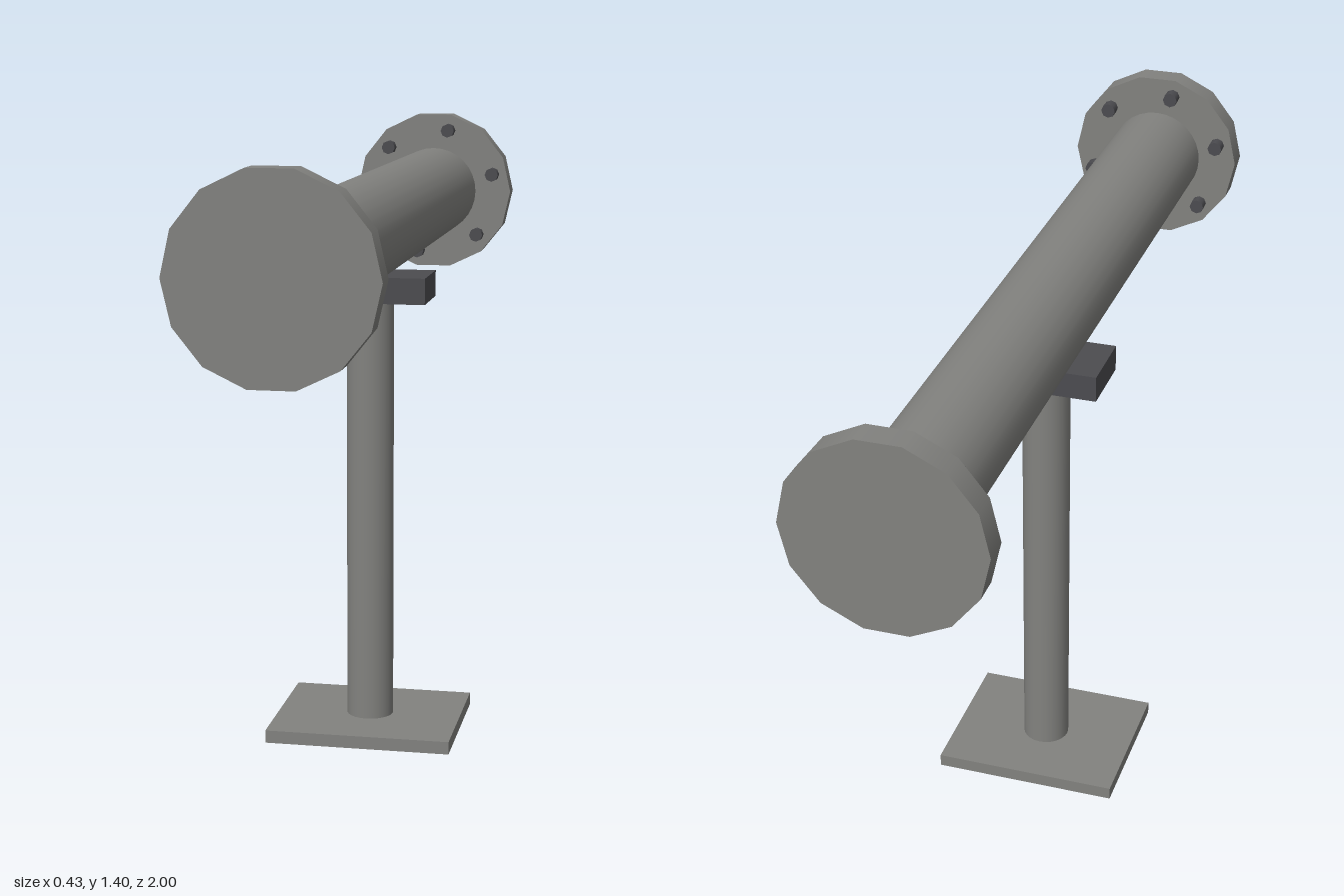
import * as THREE from 'three';

export function createModel() {
  const model = new THREE.Group();
  const steel = new THREE.MeshStandardMaterial({ color: 0x82827f });
  steel.name = 'steel grey';
  const dark = new THREE.MeshStandardMaterial({ color: 0x4c4c50 });
  dark.name = 'dark grey';

  const add = (parent, name, geometry, material, x, y, z) => {
    const mesh = new THREE.Mesh(geometry, material);
    mesh.name = name;
    mesh.position.set(x, y, z);
    parent.add(mesh);
    return mesh;
  };

  // Stand: base plate, post and saddle block
  add(model, 'basePlate', new THREE.BoxGeometry(0.434, 0.03, 0.36), steel, 0, 0.015, 0);
  add(model, 'post', new THREE.CylinderGeometry(0.055, 0.055, 1.0, 24), steel, 0, 0.53, 0);
  add(model, 'saddle', new THREE.BoxGeometry(0.28, 0.06, 0.16), dark, 0, 1.06, 0);

  // Horizontal pipe
  const axisY = 1.2;
  const pipe = new THREE.CylinderGeometry(0.115, 0.115, 1.9, 32).rotateX(Math.PI / 2);
  add(model, 'pipe', pipe, steel, 0, axisY, 0);

  // Flanged ends: a 14-sided disc with six bolts on its inner face
  const disc = new THREE.CylinderGeometry(0.21, 0.21, 0.06, 14)
    .rotateY(Math.PI / 2).rotateX(Math.PI / 2);
  const bolt = new THREE.CylinderGeometry(0.018, 0.018, 0.04, 8).rotateX(Math.PI / 2);
  for (const end of ['front', 'back']) {
    const group = new THREE.Group();
    group.name = end + 'Flange';
    group.position.y = axisY;
    if (end === 'back') group.rotation.y = Math.PI;
    add(group, 'disc', disc, steel, 0, 0, 0.97);
    for (let i = 0; i < 6; i++) {
      const a = THREE.MathUtils.degToRad(104 + i * 60);
      add(group, 'bolt', bolt, dark, 0.168 * Math.cos(a), 0.168 * Math.sin(a), 0.93);
    }
    model.add(group);
  }
  return model;
}
